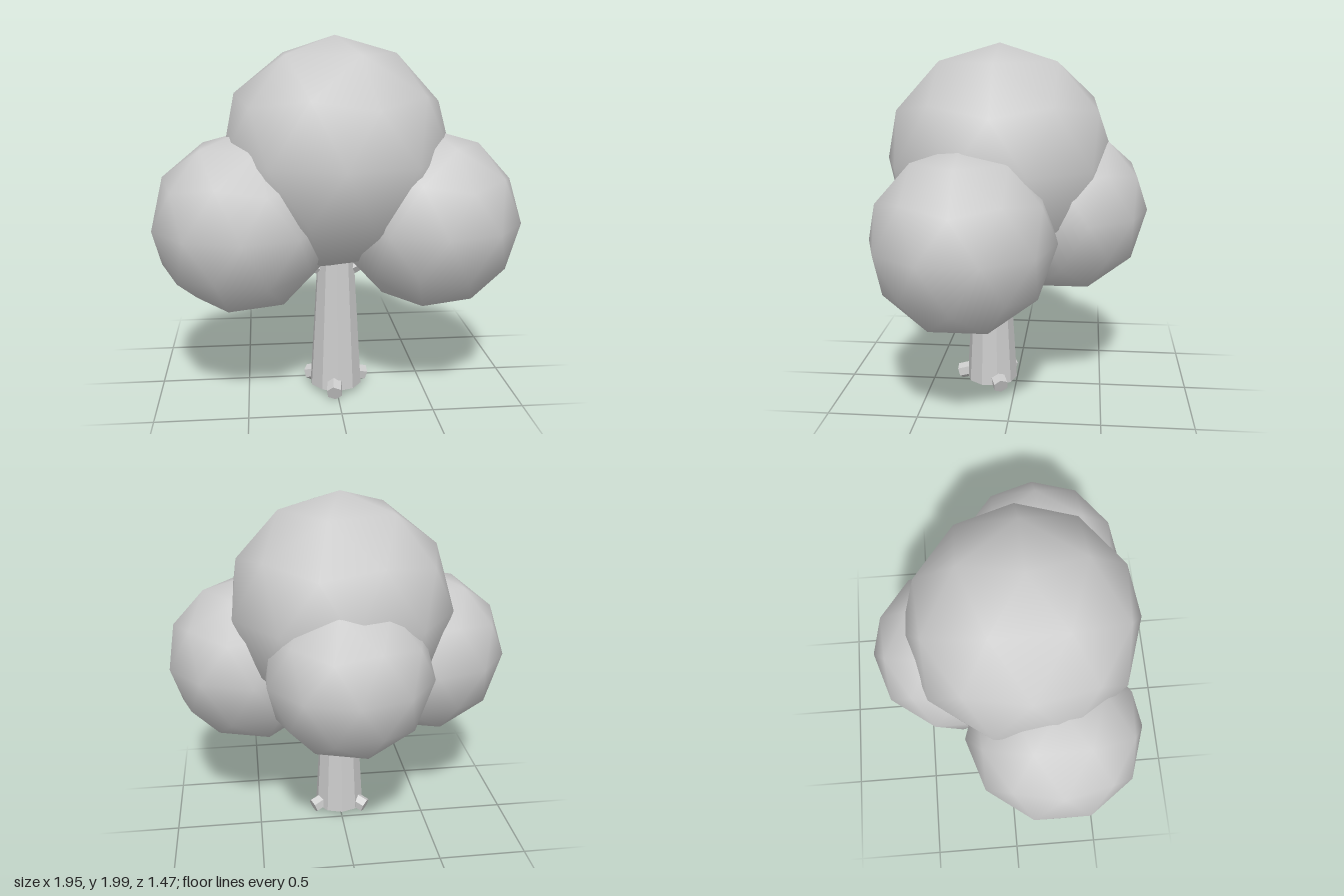
import * as THREE from 'three';

const grey = new THREE.MeshStandardMaterial({ color: 0xcccccc });
grey.name = 'plain grey';
const greyFacet = grey.clone();
greyFacet.flatShading = true;
greyFacet.name = 'plain grey faceted';

// Icosahedron standing on a vertex, subdivided once, smooth normals
function foliageGeometry(radius) {
  const verts = [0, 1, 0];
  const h = 1 / Math.sqrt(5), w = 2 * h;
  for (let ring = 0; ring < 2; ring++) {
    for (let i = 0; i < 5; i++) {
      const a = (i + ring * 0.5) * Math.PI * 0.4;
      verts.push(w * Math.cos(a), ring ? -h : h, w * Math.sin(a));
    }
  }
  verts.push(0, -1, 0);
  const faces = [];
  for (let i = 0; i < 5; i++) {
    const j = (i + 1) % 5;
    const u = 1 + i, un = 1 + j, l = 6 + i, ln = 6 + j;
    faces.push(0, un, u, u, un, l, l, un, ln, 11, l, ln);
  }
  return new THREE.PolyhedronGeometry(verts, faces, radius, 1);
}

// Tapered six-sided stub between two points
function stub(name, from, to, r0, r1) {
  const a = new THREE.Vector3(...from), b = new THREE.Vector3(...to);
  const dir = b.clone().sub(a);
  const mesh = new THREE.Mesh(new THREE.CylinderGeometry(r1, r0, dir.length(), 6), greyFacet);
  mesh.position.copy(a).add(b).multiplyScalar(0.5);
  mesh.quaternion.setFromUnitVectors(new THREE.Vector3(0, 1, 0), dir.normalize());
  mesh.name = name;
  return mesh;
}

export function createModel() {
  const tree = new THREE.Group();
  tree.name = 'tree';
  const cz = 0.145;

  // Foliage clumps: name, centre, radius
  const clumps = [
    ['crownFoliage', [0, 1.36, 0.09], 0.64],
    ['leftFoliage', [0.51, 1.015, 0.23], 0.49],
    ['rightFoliage', [-0.51, 1.015, 0.23], 0.49],
    ['backFoliage', [0, 1.085, -0.27], 0.468],
  ];
  for (const [name, centre, radius] of clumps) {
    const mesh = new THREE.Mesh(foliageGeometry(radius), grey);
    mesh.position.set(...centre);
    mesh.name = name;
    tree.add(mesh);
  }

  // Ten-sided tapering trunk
  const trunk = new THREE.Mesh(new THREE.CylinderGeometry(0.102, 0.148, 0.78, 10), greyFacet);
  trunk.position.set(0, 0.43, cz);
  trunk.name = 'trunk';
  tree.add(trunk);

  // Root stubs sloping down and out from the trunk base
  const roots = [['frontRoot', -0.025, 0.195], ['leftRoot', 0.17, -0.07], ['rightRoot', -0.15, -0.105]];
  for (const [name, x, z] of roots) {
    tree.add(stub(name, [x * 0.3, 0.095, cz + z * 0.3], [x, 0.05, cz + z], 0.045, 0.045));
  }

  // Branches rising into the lower foliage
  const branches = [['leftBranch', 0.3, 0.02], ['rightBranch', -0.3, 0.02], ['backBranch', 0, -0.3]];
  for (const [name, x, z] of branches) {
    tree.add(stub(name, [x * 0.1, 0.7, cz + z * 0.1], [x, 0.84, cz + z], 0.045, 0.04));
  }
  return tree;
}
